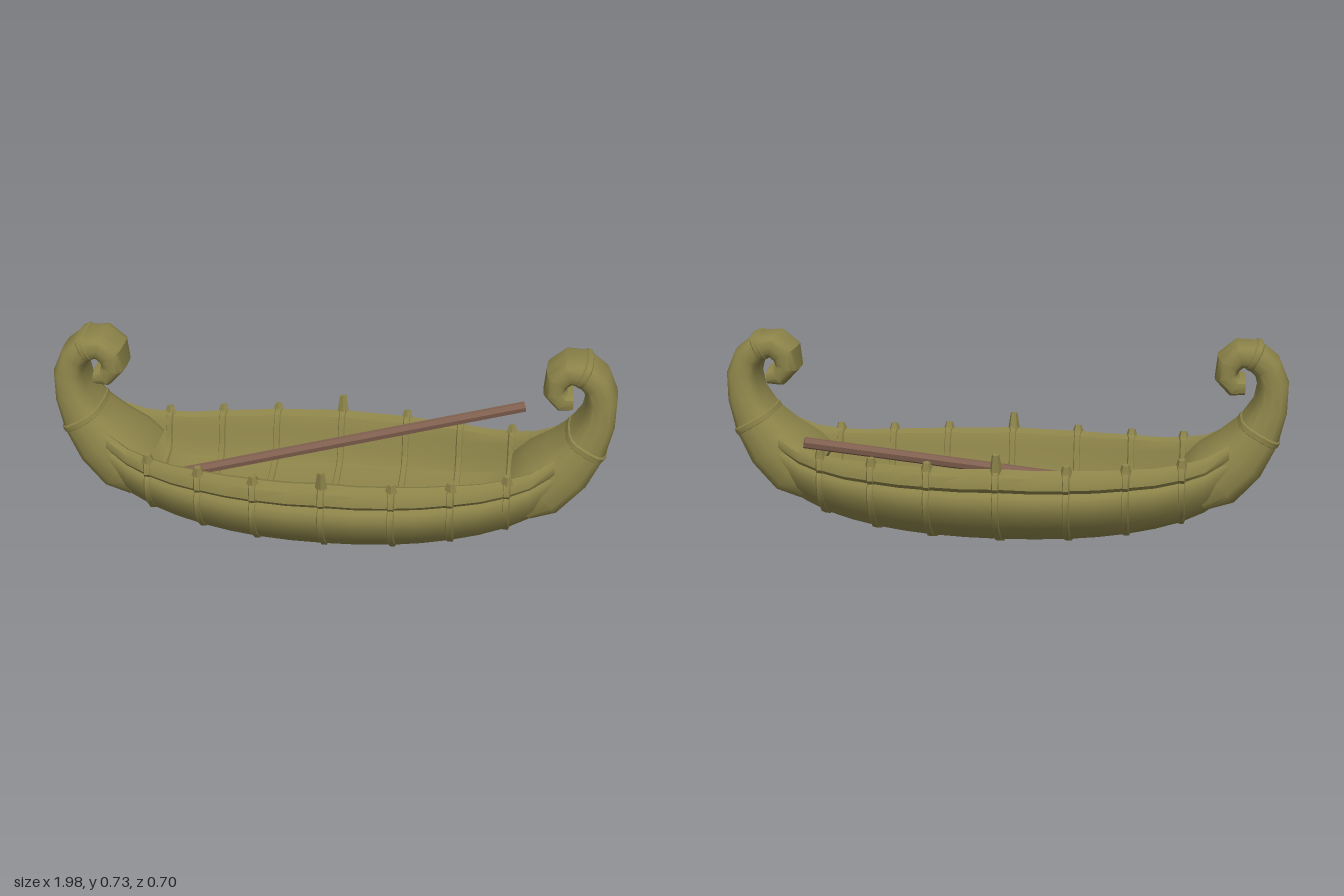
import * as THREE from 'three';
import { toCreasedNormals } from 'three/addons/utils/BufferGeometryUtils.js';

// Hull stations for x >= 0: [x, half width, bottom, gunwale height]
const STATIONS = [
  [0, 0.344, 0.008, 0.322], [0.12, 0.341, 0.01, 0.318], [0.24, 0.329, 0.015, 0.318],
  [0.34, 0.31, 0.023, 0.316], [0.44, 0.286, 0.036, 0.318], [0.54, 0.255, 0.055, 0.318],
  [0.63, 0.224, 0.08, 0.328], [0.71, 0.193, 0.115, 0.345], [0.79, 0.158, 0.17, 0.385],
];

// Half section: outer skin, groove, gunwale roll, inner wall, floor (z / width, height fraction)
const SECTION = [
  [0, 0], [0.35, 0.03], [0.66, 0.14], [0.88, 0.33], [0.97, 0.5], [1, 0.63], [0.97, 0.71],
  [0.93, 0.75], [0.975, 0.8], [0.95, 0.93], [0.86, 1], [0.76, 0.96], [0.7, 0.82],
  [0.67, 0.62], [0.58, 0.45], [0.3, 0.38], [0, 0.36],
];
const INNER = 12;

// Stem path for the +x end: [x, y, half thickness, half width]
const STEM = [
  [0.68, 0.215, 0.09, 0.17], [0.75, 0.255, 0.112, 0.172], [0.83, 0.325, 0.1, 0.153],
  [0.893, 0.41, 0.078, 0.132], [0.93, 0.5, 0.061, 0.115], [0.937, 0.58, 0.055, 0.106],
  [0.915, 0.64, 0.051, 0.1], [0.87, 0.678, 0.049, 0.098], [0.82, 0.683, 0.046, 0.098],
  [0.782, 0.652, 0.045, 0.098], [0.775, 0.607, 0.042, 0.097], [0.803, 0.575, 0.038, 0.095],
  [0.84, 0.575, 0.03, 0.09],
];

// Skin a row of closed rings, with optional end caps
function loft(rings, caps, crease = 0.75) {
  const n = rings[0].length, pos = [], idx = [];
  rings.forEach(r => r.forEach(p => pos.push(p.x, p.y, p.z)));
  for (let i = 0; i < rings.length - 1; i++) {
    for (let j = 0; j < n; j++) {
      const k = (j + 1) % n, a = i * n + j, d = i * n + k;
      idx.push(a, a + n, d + n, a, d + n, d);
    }
  }
  if (caps) {
    [0, rings.length - 1].forEach((i, end) => {
      const c = rings[i].reduce((s, p) => s.add(p), new THREE.Vector3()).divideScalar(n);
      const ci = pos.length / 3;
      pos.push(c.x, c.y, c.z);
      for (let j = 0; j < n; j++) {
        const a = i * n + j, b = i * n + (j + 1) % n;
        idx.push(ci, end ? b : a, end ? a : b);
      }
    });
  }
  const g = new THREE.BufferGeometry();
  g.setAttribute('position', new THREE.Float32BufferAttribute(pos, 3));
  g.setIndex(idx);
  return toCreasedNormals(g, crease);
}

// Hull section at a station, pushed out along its own normal by `out`
function hullRing([sx, w, b, t], x, out = 0) {
  const fill = THREE.MathUtils.smoothstep(sx, 0.58, 0.82);
  const half = SECTION.map(([u, v], i) =>
    [u * w, b + (t - b) * (i >= INNER ? THREE.MathUtils.lerp(v, 0.85, fill) : v)]);
  const pts = half.concat(half.slice(1, -1).reverse().map(([z, y]) => [-z, y]));
  const n = pts.length;
  return pts.map(([z, y], i) => {
    const p = pts[(i + n - 1) % n], q = pts[(i + 1) % n];
    const dz = q[0] - p[0], dy = q[1] - p[1], l = Math.hypot(dz, dy) || 1;
    return new THREE.Vector3(x, y - (dz / l) * out, z + (dy / l) * out);
  });
}

// Rounded-box section across the stem path
function stemRing(i, out = 0, shift = 0) {
  const [x, y, h, w] = STEM[i];
  const p = STEM[Math.max(i - 1, 0)], q = STEM[Math.min(i + 1, STEM.length - 1)];
  const l = Math.hypot(q[0] - p[0], q[1] - p[1]);
  const tx = (q[0] - p[0]) / l, ty = (q[1] - p[1]) / l;
  const round = v => Math.sign(v) * Math.pow(Math.abs(v), 0.65);
  return Array.from({ length: 16 }, (_, k) => {
    const a = k / 16 * Math.PI * 2;
    const r = round(Math.cos(a)) * (h + out);
    return new THREE.Vector3(x + ty * r + tx * shift, y - tx * r + ty * shift, round(Math.sin(a)) * (w + out));
  });
}

const BAND = [[-0.014, -0.004], [-0.009, 0.006], [0.009, 0.006], [0.014, -0.004]];

export function createModel() {
  const reed = new THREE.MeshStandardMaterial({ color: 0x8c8349 });
  reed.name = 'reed';
  const wood = new THREE.MeshStandardMaterial({ color: 0x80604f });
  wood.name = 'wood';

  const boat = new THREE.Group();
  boat.name = 'reedBoat';
  const add = (name, geometry, material = reed, parent = boat) => {
    const m = new THREE.Mesh(geometry, material);
    m.name = name;
    parent.add(m);
    return m;
  };

  // Hull with gunwale rolls and hollow inside
  const mirrored = STATIONS.slice(1).reverse().map(s => hullRing(s, -s[0]));
  add('hull', loft([...mirrored, ...STATIONS.map(s => hullRing(s, s[0]))], true));

  // Lashings round the hull, each with a knot on both gunwales
  for (const i of [0, 2, 4, 6]) {
    const s = STATIONS[i];
    for (const side of i ? [-1, 1] : [1]) {
      const x = s[0] * side;
      add('lashing', loft(BAND.map(([dx, out]) => hullRing(s, x + dx, out)), false));
      for (const zSide of [-1, 1]) {
        // The middle knots stand up as small pegs
        const h = i ? 0.035 : 0.075;
        const knot = add(i ? 'knot' : 'peg', new THREE.CylinderGeometry(0.013, 0.025, h, 5).toNonIndexed());
        knot.geometry.computeVertexNormals();
        knot.position.set(x, s[3] + (i ? 0.002 : 0.016), zSide * s[1] * 0.88);
        knot.rotation.x = zSide * 0.15;
      }
    }
  }

  // Curled stems at both ends
  for (const end of [0, 1]) {
    const stem = new THREE.Group();
    stem.name = end ? 'rightStem' : 'leftStem';
    stem.rotation.y = end * Math.PI;
    boat.add(stem);
    add('curl', loft(STEM.map((_, i) => stemRing(i)), true), reed, stem);
    for (const i of [3, 7]) {
      add('stemLashing', loft(BAND.map(([d, out]) => stemRing(i, out * 0.6, d)), false), reed, stem);
    }
  }

  // Pole lying across the boat
  const from = new THREE.Vector3(-0.6, 0.17, 0.015), to = new THREE.Vector3(0.67, 0.39, -0.27);
  const dir = to.clone().sub(from);
  const pole = add('pole', toCreasedNormals(new THREE.CylinderGeometry(0.02, 0.02, dir.length(), 7), 0.6), wood);
  pole.position.copy(from).add(to).multiplyScalar(0.5);
  pole.quaternion.setFromUnitVectors(new THREE.Vector3(0, 1, 0), dir.normalize());

  return boat;
}
